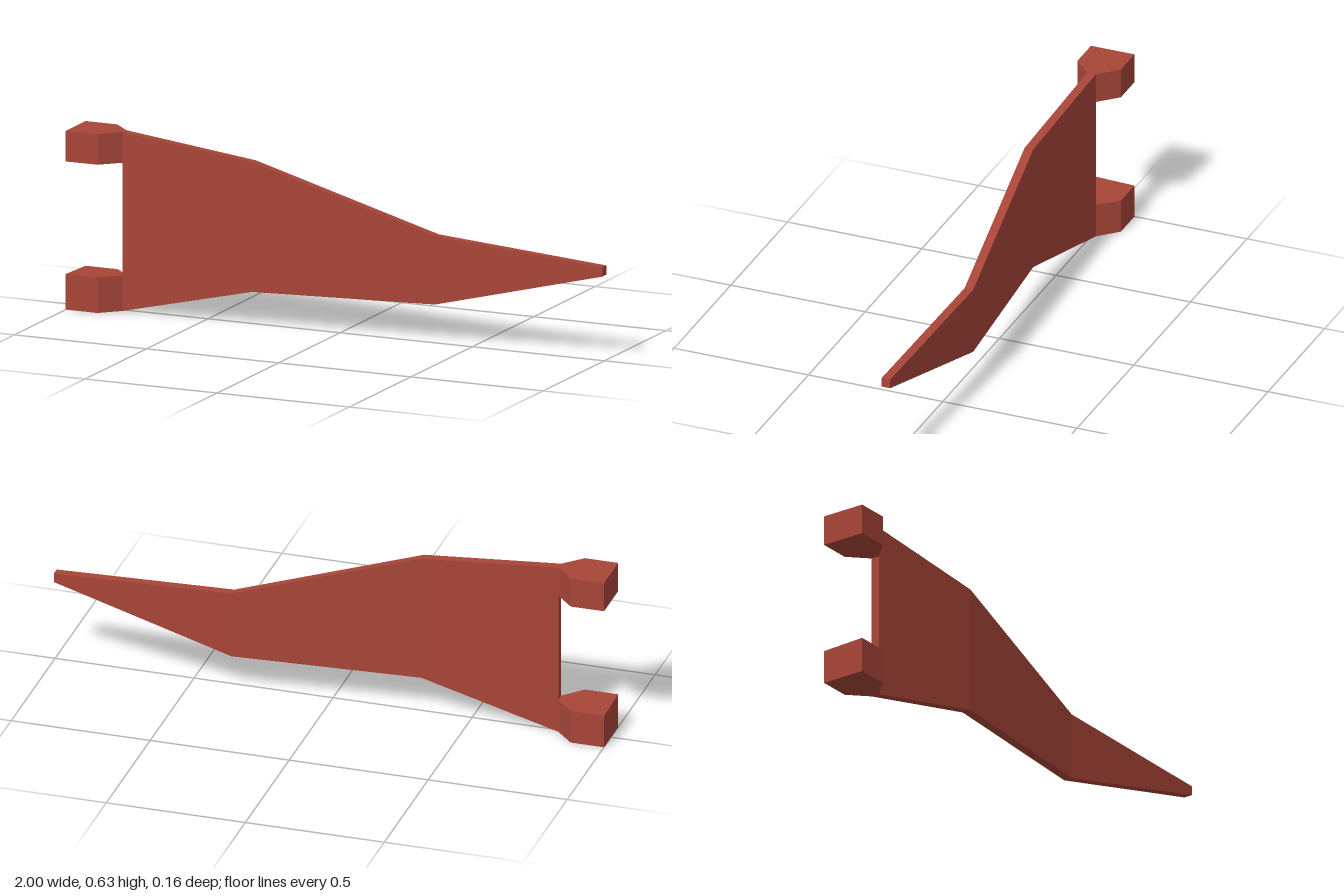
import * as THREE from 'three';

export function createModel() {
  const group = new THREE.Group();
  group.name = 'hingedFin';
  const red = new THREE.MeshStandardMaterial({ color: 0xa84538 });
  red.name = 'brickRed';

  // Lofts rectangular sections [x, yMin, yMax, zMin, zMax] along x, with hard edges
  function loft(sections) {
    const rings = sections.map(([x, y0, y1, z0, z1]) => [
      [x, y0, z1], [x, y0, z0], [x, y1, z0], [x, y1, z1],
    ]);
    const pos = [];
    const quad = (a, b, c, d) => pos.push(...a, ...b, ...c, ...a, ...c, ...d);
    for (let i = 0; i < rings.length - 1; i++) {
      const r = rings[i], s = rings[i + 1];
      for (let j = 0; j < 4; j++) {
        const k = (j + 1) % 4;
        quad(r[j], r[k], s[k], s[j]);
      }
    }
    const first = rings[0], last = rings[rings.length - 1];
    quad(first[3], first[2], first[1], first[0]);
    quad(last[0], last[1], last[2], last[3]);
    const geo = new THREE.BufferGeometry();
    geo.setAttribute('position', new THREE.Float32BufferAttribute(pos, 3));
    return geo;
  }

  function add(name, geo) {
    geo.computeVertexNormals();
    const mesh = new THREE.Mesh(geo, red);
    mesh.name = name;
    group.add(mesh);
  }

  // Tapering blade that waves gently in z
  add('blade', loft([
    [-0.815, 0, 0.63, -0.015, 0.017],
    [-0.315, 0.121, 0.578, 0.007, 0.039],
    [0.35, 0.13, 0.371, -0.05, -0.018],
    [1, 0.3, 0.333, -0.015, 0.017],
  ]));

  // Square lugs narrowing to the thickness of the blade
  const lug = (y0, y1) => loft([
    [-1, y0, y1, -0.081, 0.081],
    [-0.88, y0, y1, -0.081, 0.081],
    [-0.815, y0, y1, -0.015, 0.017],
  ]);
  add('upperLug', lug(0.522, 0.63));

  // The lower lug's top slopes slightly towards the back
  const lower = lug(0, 0.123);
  const p = lower.attributes.position;
  for (let i = 0; i < p.count; i++) {
    if (p.getY(i) > 0.1) p.setY(i, 0.123 + p.getZ(i) * 0.035);
  }
  add('lowerLug', lower);

  return group;
}
